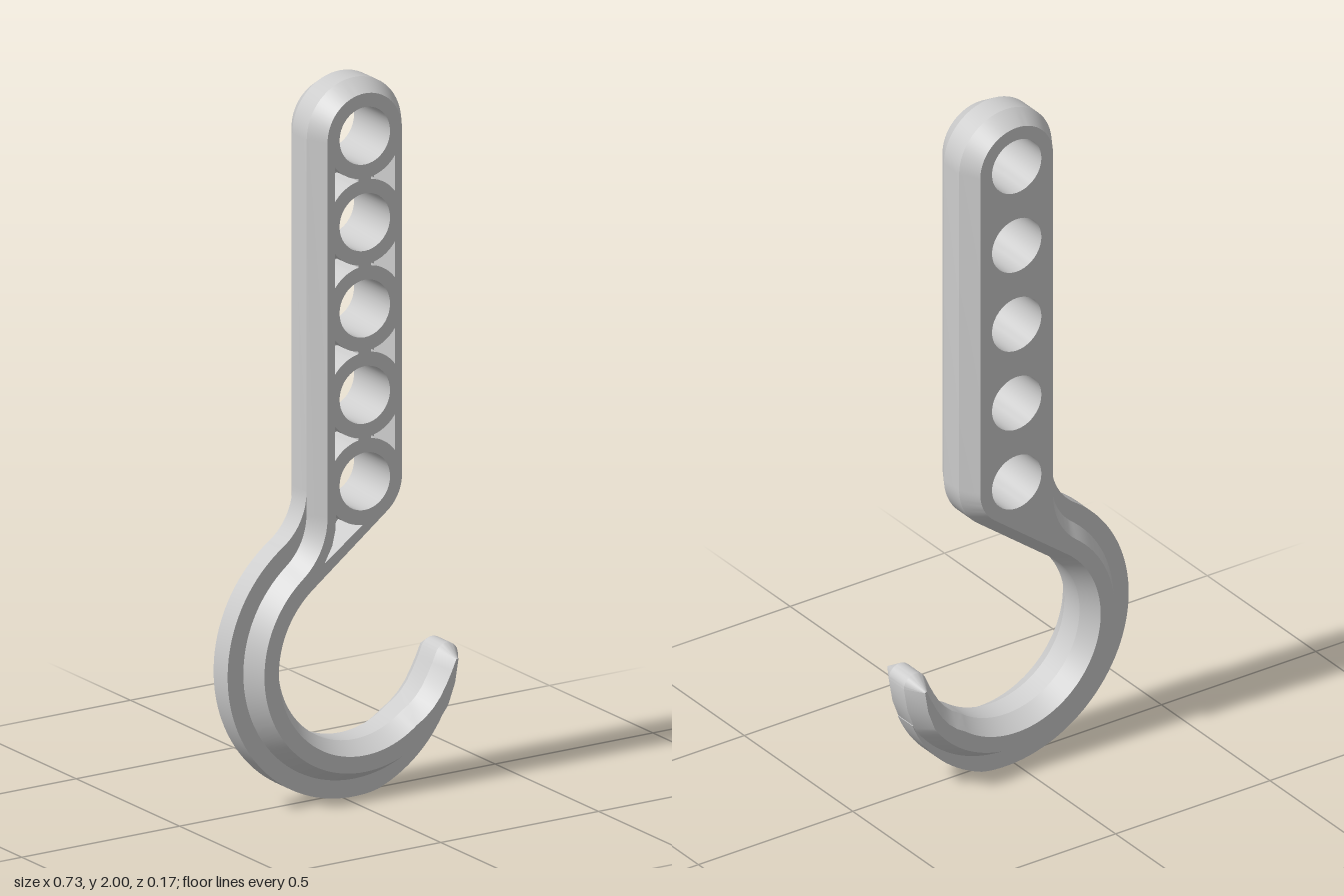
import * as THREE from 'three';
import { mergeGeometries, toCreasedNormals } from 'three/addons/utils/BufferGeometryUtils.js';

const V = (x, y) => new THREE.Vector2(x, y);
const RAD = Math.PI / 180;
const CX = 0.03, TOP = 1.85, LOW = 0.89, HOOK = 0.4; // centre line and arc centres
const HALF = 0.15, INNER = 0.24, BODY = 0.35, RIB = 0.4; // radii
const ZM = 0.035, ZF = 0.087, INSET = 0.032, POCKET = 0.1;

// Points along an arc, angles in degrees
function arc(cx, cy, r, from, to, n) {
  return Array.from({ length: n + 1 }, (_, i) => {
    const a = (from + ((to - from) * i) / n) * RAD;
    return V(cx + r * Math.cos(a), cy + r * Math.sin(a));
  });
}

// Left side: shank edge, concave fillet, then round the hook; radius can taper at the end
function outerSide(radius, inset, endAngle, taper = 0) {
  const f = 0.17, dx = -HALF - f;
  const dy = Math.sqrt((radius + f) ** 2 - dx * dx);
  const join = Math.atan2(dy, dx) / RAD;
  const fillet = arc(CX + dx, HOOK + dy, f + inset, 0, join - 180, 14);
  const round = arc(CX, HOOK, radius - inset, join, endAngle, 64).slice(1);
  const taperStart = 280;
  round.forEach((p) => {
    const a = (Math.atan2(p.y - HOOK, p.x - CX) / RAD + 360) % 360;
    const t = Math.max(0, (a - taperStart) / (endAngle - taperStart));
    if (taper && a > taperStart) {
      p.sub(V(CX, HOOK)).multiplyScalar(1 - (taper * t) / radius).add(V(CX, HOOK));
    }
  });
  return [...fillet, ...round];
}

// Counter-clockwise silhouette of the body
function bodyOutline() {
  const ny = -(HALF + INNER) / (LOW - HOOK);
  const tangent = Math.asin(ny) / RAD; // shared tangent of shank end and hook throat
  return [
    ...arc(CX, TOP, HALF, 0, 180, 32),
    ...outerSide(BODY, 0, 327),
    V(0.347, 0.272),
    ...arc(0.323, 0.342, 0.036, 0, 150, 12),
    V(0.278, 0.329), V(0.261, 0.296), V(0.244, 0.268), V(0.225, 0.245), V(0.203, 0.226),
    ...arc(CX, HOOK, INNER, 308, 180 + tangent, 56),
    ...arc(CX, LOW, HALF, tangent, 0, 14),
  ];
}

// Move every point of a closed outline inwards
function insetOutline(pts, d) {
  const n = pts.length;
  return pts.map((p, i) => {
    const a = p.clone().sub(pts[(i + n - 1) % n]).normalize();
    const b = pts[(i + 1) % n].clone().sub(p).normalize();
    const t = a.clone().add(b).normalize();
    const k = d / Math.max(0.7, t.dot(b));
    return V(p.x - t.y * k, p.y + t.x * k);
  });
}

// Wall between two matching closed outlines at different depths
function wall(a, za, b, zb) {
  const pos = [];
  a.forEach((p, i) => {
    const j = (i + 1) % a.length;
    pos.push(p.x, p.y, za, a[j].x, a[j].y, za, b[j].x, b[j].y, zb);
    pos.push(p.x, p.y, za, b[j].x, b[j].y, zb, b[i].x, b[i].y, zb);
  });
  const g = new THREE.BufferGeometry();
  g.setAttribute('position', new THREE.Float32BufferAttribute(pos, 3));
  return g;
}

// Flat face with holes, facing forwards or backwards
function cap(outline, holes, z, back = false) {
  const shape = new THREE.Shape(outline);
  holes.forEach((h) => shape.holes.push(new THREE.Path(h)));
  const g = new THREE.ShapeGeometry(shape);
  if (back) g.index.array.reverse();
  g.deleteAttribute('normal');
  g.deleteAttribute('uv');
  return g.translate(0, 0, z).toNonIndexed();
}

// Three-cornered recess between two holes; side is -1 or 1
function sidePocket(y, side) {
  const R = 0.1185, edge = Math.acos(0.095 / R) / RAD, tip = Math.acos(0.02 / R) / RAD;
  const pts = [
    ...arc(0, 0.12, R, -edge, -tip, 10),
    ...arc(0, -0.12, R, tip, edge, 10),
  ].map((p) => V(CX + side * p.x, y + p.y));
  return THREE.ShapeUtils.isClockWise(pts) ? pts.reverse() : pts;
}

export function createModel() {
  const group = new THREE.Group();
  const material = new THREE.MeshStandardMaterial({ color: 0xcccccc });
  const add = (name, parts) => {
    const mesh = new THREE.Mesh(toCreasedNormals(mergeGeometries(parts), 0.4), material);
    mesh.name = name;
    group.add(mesh);
  };

  const mid = bodyOutline();
  const face = insetOutline(mid, INSET);

  // Openings in the shank
  const holes = [], pockets = [];
  for (let i = 0; i < 5; i++) {
    const y = LOW + i * 0.24;
    holes.push(arc(CX, y, 0.08, 0, 360, 40).slice(0, -1));
    if (i < 4) pockets.push(sidePocket(y + 0.12, -1), sidePocket(y + 0.12, 1));
  }
  // Recess where the shank runs into the hook
  pockets.push([
    V(-0.061, 0.81), V(-0.063, 0.77), V(-0.073, 0.728), V(-0.098, 0.682),
    ...arc(CX, LOW, 0.12, -93, -139, 8),
  ]);

  // Chamfered shank and hook
  add('hookBody', [
    wall(face, -ZF, mid, -ZM),
    wall(mid, -ZM, mid, ZM),
    wall(mid, ZM, face, ZF),
    cap(face, [...holes, ...pockets], ZF),
    cap(face, holes, -ZF, true),
  ]);

  // Through holes
  add('holeWalls', holes.map((h) => {
    const r = [...h].reverse();
    return wall(r, -ZF, r, ZF);
  }));

  // Blind recesses in the front face
  add('frontPockets', pockets.flatMap((p) => {
    const r = [...p].reverse();
    return [wall(r, ZF - POCKET, r, ZF), cap(p, [], ZF - POCKET)];
  }));

  // Narrow rib round the outside of the hook
  const ribOutline = [
    ...outerSide(RIB, 0, 329, 0.05),
    ...outerSide(BODY, 0.02, 327).reverse(),
  ];
  const rib = new THREE.ExtrudeGeometry(new THREE.Shape(ribOutline), {
    depth: 0.068, bevelEnabled: false,
  });
  add('outerRib', [rib.translate(0, 0, -0.034)]);

  return group;
}
